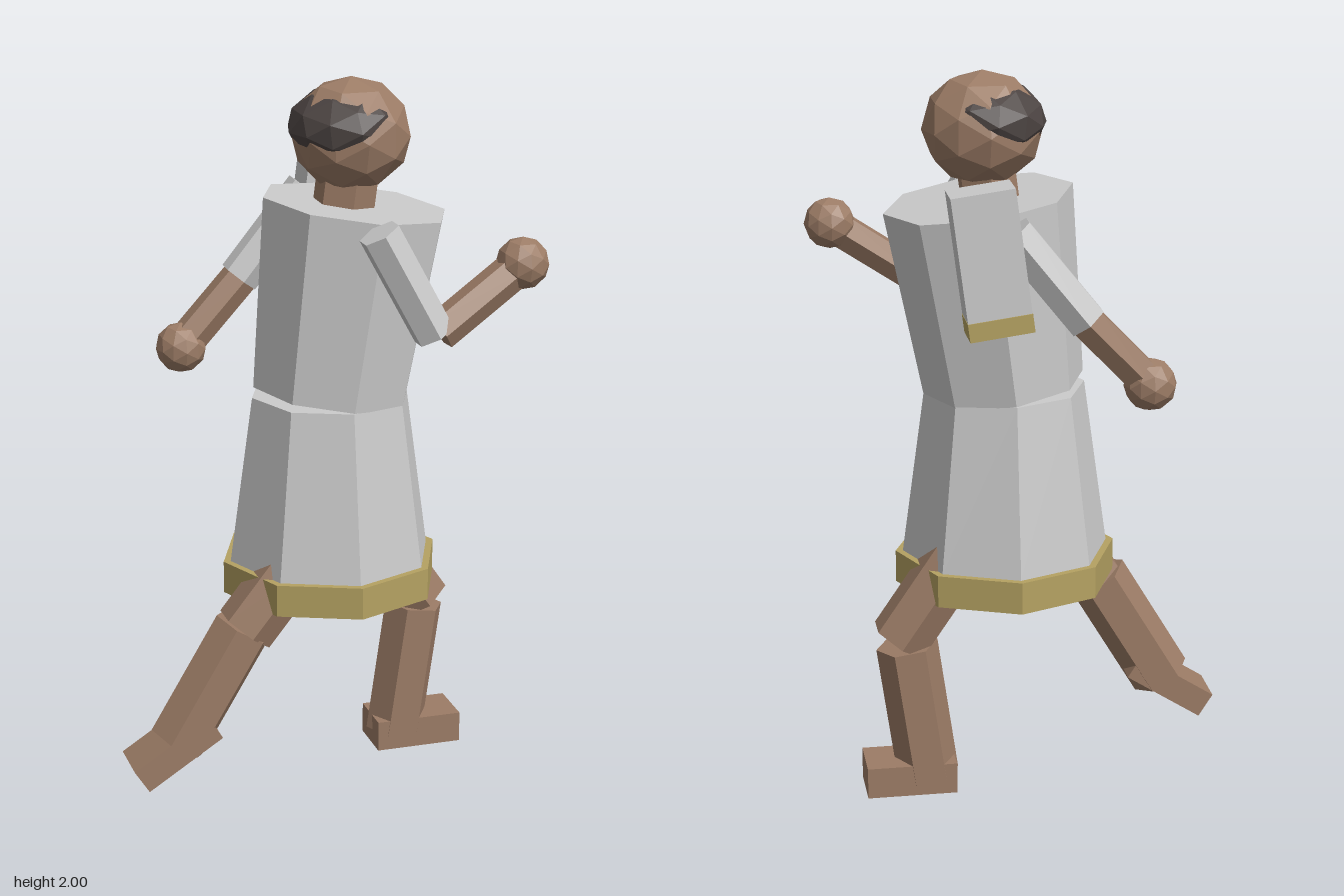
import * as THREE from 'three';

const paint = (color) => new THREE.MeshStandardMaterial({ color, flatShading: true });

export function createModel() {
  const cloth = paint(0xcccccc), skin = paint(0x9c7c66), gold = paint(0xb5a262), hair = paint(0x4d4543);
  const model = new THREE.Group();
  const LEAN = -0.13;

  function add(name, geometry, material, position, tilt = 0, scale = [1, 1, 1]) {
    const mesh = new THREE.Mesh(geometry, material);
    mesh.name = name;
    mesh.position.set(...position);
    mesh.rotation.z = tilt;
    mesh.scale.set(...scale);
    model.add(mesh);
    return mesh;
  }

  // Six-sided limb segment between two points; turn spins the hexagon
  function limb(name, material, from, to, radius, turn = 0) {
    const a = new THREE.Vector3(...from), b = new THREE.Vector3(...to);
    const geometry = new THREE.CylinderGeometry(radius, radius, a.distanceTo(b), 6);
    geometry.rotateY(turn);
    const y = a.clone().sub(b).normalize();
    const x = y.clone().cross(new THREE.Vector3(0, 0, 1)).normalize();
    const z = x.clone().cross(y);
    const mesh = add(name, geometry, material, a.clone().add(b).multiplyScalar(0.5).toArray());
    mesh.quaternion.setFromRotationMatrix(new THREE.Matrix4().makeBasis(x, y, z));
  }

  const ball = (r) => new THREE.IcosahedronGeometry(r, 1);

  // Tunic: leaning chest, flared skirt and hem band
  add('chest', new THREE.CylinderGeometry(0.26, 0.222, 0.527, 8), cloth, [0.081, 1.391, 0], LEAN);
  add('skirt', new THREE.CylinderGeometry(0.222, 0.287, 0.47, 8), cloth, [0.045, 0.893, 0]);
  add('hem', new THREE.CylinderGeometry(0.307, 0.307, 0.09, 8), gold, [0.045, 0.614, 0]);

  // Neck, head and a hair ring wrapped round the crown
  add('neck', new THREE.CylinderGeometry(0.085, 0.085, 0.16, 6), skin, [0.09, 1.7, 0], LEAN);
  add('head', ball(1), skin, [0.103, 1.845, 0], 0, [0.165, 0.155, 0.163]);
  add('hair', ball(1), hair, [0.083, 1.875, 0], 0.12, [0.154, 0.105, 0.165]);

  // Arms: sleeve, forearm and hand
  const arms = [
    ['left', [0.083, 1.645, 0.305], [0.235, 1.362, 0.315], [0.25, 1.365, 0.312], [0.49, 1.53, 0.29]],
    ['right', [0.07, 1.63, -0.305], [-0.125, 1.385, -0.312], [-0.12, 1.39, -0.308], [-0.3, 1.2, -0.295]],
  ];
  for (const [side, shoulder, cuff, elbow, hand] of arms) {
    limb(side + 'Sleeve', cloth, shoulder, cuff, 0.058);
    limb(side + 'Forearm', skin, elbow, hand, 0.052);
    add(side + 'Hand', ball(0.072), skin, hand);
  }

  // Hanging shoulder panel with a trimmed lower edge
  add('shoulderPanel', new THREE.BoxGeometry(0.17, 0.335, 0.108), cloth, [0.134, 1.583, -0.313], LEAN);
  add('shoulderPanelTrim', new THREE.BoxGeometry(0.172, 0.05, 0.114), gold, [0.109, 1.392, -0.313], LEAN);

  // Legs: planted front leg and trailing back leg
  const legs = [
    ['left', [0.19, 0.69, -0.118], [0.36, 0.44, -0.118], [0.338, 0.425, -0.118], [0.283, 0.035, -0.118]],
    ['right', [-0.08, 0.695, 0.115], [-0.235, 0.5, 0.115], [-0.24, 0.505, 0.113], [-0.43, 0.187, 0.113]],
  ];
  const names = { left: 'front', right: 'back' };
  for (const [side, hip, knee, shinTop, ankle] of legs) {
    limb(names[side] + 'Thigh', skin, hip, knee, 0.085);
    limb(names[side] + 'Shin', skin, shinTop, ankle, 0.086, Math.PI / 6);
  }
  add('frontFoot', new THREE.BoxGeometry(0.25, 0.088, 0.147), skin, [0.335, 0.044, -0.118]);
  add('backFoot', new THREE.BoxGeometry(0.25, 0.075, 0.147), skin, [-0.445, 0.178, 0.113], 0.57);

  return model;
}
